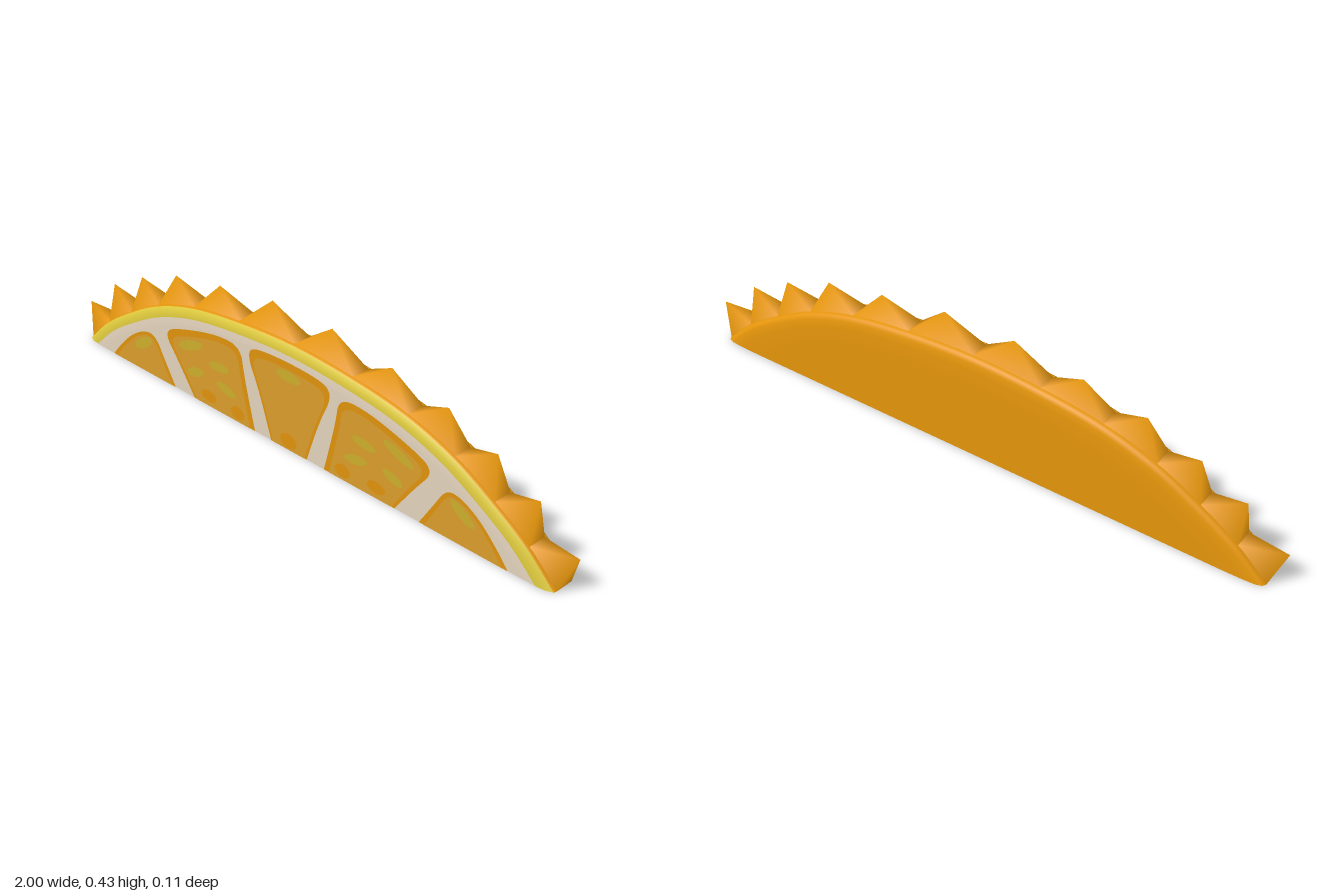
import * as THREE from 'three';

// The slice is a thin shell open along its cut edge, so every colour is double sided
const mat = (name, color) => {
  const m = new THREE.MeshStandardMaterial({ color, side: THREE.DoubleSide });
  m.name = name;
  return m;
};

export function createModel() {
  const group = new THREE.Group();
  const rind = mat('orange rind', 0xe6960b);
  const zest = mat('yellow zest', 0xdac63c);
  const pith = mat('pale pith', 0xe2d2bc);
  const flesh = mat('orange flesh', 0xe0930d);
  const pulp = mat('dull pulp', 0xda9c2c);
  const fleck = mat('olive fleck', 0xcdad2c);

  const add = (name, geometry, material) => {
    const mesh = new THREE.Mesh(geometry, material);
    mesh.name = name;
    group.add(mesh);
    return mesh;
  };
  const shapeOf = pts => new THREE.Shape(pts.map(p => new THREE.Vector2(p[0], p[1])));

  // Outline of the slice, from right end over the top to left end
  const half = [[0.96, 0], [0.865, 0.09], [0.745, 0.17], [0.605, 0.245], [0.435, 0.3], [0.23, 0.33]];
  const mirror = pts => pts.map(([x, y]) => [-x, y]).reverse();
  const valleys = [...half, [0, 0.343], ...mirror(half)];
  const outline = new THREE.SplineCurve(valleys.map(p => new THREE.Vector2(...p))).getPoints(72);
  const inset = d => outline.map(p => [p.x * (1 - d * 1.7), p.y * (1 - d / 0.343)]);

  // Rounded rim: rings of [z, inset, material index of the band that follows]
  const rings = [
    [-0.053, 0.08, 0], [-0.052, 0.04, 0], [-0.0492, 0.015, 0], [-0.043, 0.004, 0], [-0.033, 0, 0],
    [0.033, 0, 0], [0.04, 0.002, 1], [0.0492, 0.015, 1], [0.052, 0.032, 2], [0.053, 0.055, 2],
  ];
  const pos = [], index = [];
  const rim = new THREE.BufferGeometry();
  const n = outline.length;
  rings.forEach(([z, d, m], r) => {
    inset(d).forEach(([x, y]) => pos.push(x, y, z));
    if (r === rings.length - 1) return;
    rim.addGroup(index.length, (n - 1) * 6, m);
    for (let i = 0; i < n - 1; i++) {
      const a = r * n + i, b = a + 1, c = a + n, e = c + 1;
      index.push(a, b, c, b, e, c);
    }
  });
  rim.setAttribute('position', new THREE.Float32BufferAttribute(pos, 3));
  rim.setIndex(index);
  rim.computeVertexNormals();
  add('rim', rim, [rind, zest, pith]);

  // Flat faces
  const faceZ = 0.053;
  add('frontPith', new THREE.ShapeGeometry(shapeOf(inset(0.055))), pith).position.z = faceZ;
  const back = add('backFace', new THREE.ShapeGeometry(shapeOf(inset(0.08))), rind);
  back.rotation.y = Math.PI;
  back.position.z = -faceZ;

  // Painted plate, laid on the outside of the front face and repeated inside the shell
  const paint = (name, shape, material, layer, x = 0, y = 0, tilt = 0) => {
    const geometry = new THREE.ShapeGeometry(shape, 8);
    for (const s of [1, -1]) {
      const mesh = add(name, geometry, material);
      mesh.position.set(x, y, faceZ + s * layer * 0.0007);
      mesh.rotation.z = tilt;
    }
  };

  // Shape with softly rounded corners, flat along the cut
  const soft = pts => {
    const shape = new THREE.Shape();
    const last = pts.length - 1;
    shape.moveTo(...pts[0]);
    for (let i = 1; i < last; i++) {
      const [x, y] = pts[i], [nx, ny] = pts[i + 1];
      if (i === last - 1) shape.quadraticCurveTo(x, y, nx, ny);
      else shape.quadraticCurveTo(x, y, (x + nx) / 2, (y + ny) / 2);
    }
    return shape;
  };

  // Fruit segments with a duller inner pulp
  const segment = (pts, cx) => {
    paint('segment', soft(pts), flesh, 1);
    paint('segmentPulp', soft(pts.map(([x, y]) => [cx + (x - cx) * 0.88, y * 0.92])), pulp, 2);
  };
  const middle = [[0.075, 0], [0.12, 0.14], [0.18, 0.26], [0.12, 0.29]];
  const side = [[0.42, 0], [0.49, 0.1], [0.56, 0.185], [0.46, 0.225], [0.3, 0.265], [0.2, 0.26], [0.19, 0.17], [0.145, 0]];
  const outer = [[0.82, 0], [0.75, 0.085], [0.66, 0.145], [0.6, 0.15], [0.56, 0.08], [0.51, 0]];
  segment([...middle, ...mirror(middle)], 0);
  segment(side, 0.32);
  segment(mirror(side), -0.32);
  segment(outer, 0.66);
  segment(mirror(outer), -0.66);

  // Small spots in the pulp: x, y, radii, tilt
  const spot = (name, material, x, y, rx, ry, tilt) => {
    const shape = new THREE.Shape();
    shape.absellipse(0, 0, rx, ry, 0, Math.PI * 2);
    paint(name, shape, material, 3, x, y, tilt);
  };
  spot('fleck', fleck, 0, 0.245, 0.05, 0.018, 0);
  spot('fleshSpot', flesh, 0, 0.03, 0.035, 0.025, 0);
  for (const s of [1, -1]) {
    spot('fleck', fleck, s * 0.27, 0.09, 0.045, 0.016, s * 0.2);
    spot('fleck', fleck, s * 0.3, 0.155, 0.045, 0.016, s * -0.1);
    spot('fleck', fleck, s * 0.41, 0.095, 0.04, 0.016, s * -0.3);
    spot('fleck', fleck, s * 0.43, 0.18, 0.06, 0.017, s * -0.35);
    spot('fleck', fleck, s * 0.66, 0.1, 0.05, 0.018, s * -0.55);
    spot('fleshSpot', flesh, s * 0.22, 0.03, 0.03, 0.022, 0);
    spot('fleshSpot', flesh, s * 0.35, 0.035, 0.035, 0.02, 0);
  }

  // Smooth pyramid spikes standing between neighbouring outline points
  const tipHalf = [[1, 0.105], [0.865, 0.215], [0.72, 0.29], [0.55, 0.355], [0.347, 0.392], [0.12, 0.425]];
  [...tipHalf, ...mirror(tipHalf)].forEach(([tx, ty], i) => {
    const [ax, ay] = valleys[i], [bx, by] = valleys[i + 1], w = 0.031;
    const g = new THREE.BufferGeometry();
    g.setAttribute('position', new THREE.Float32BufferAttribute(
      [tx, ty, 0, ax, ay, w, ax, ay, -w, bx, by, w, bx, by, -w], 3));
    g.setIndex([1, 0, 3, 4, 0, 2, 2, 0, 1, 3, 0, 4]);
    g.computeVertexNormals();
    add('spike', g, rind);
  });

  return group;
}
